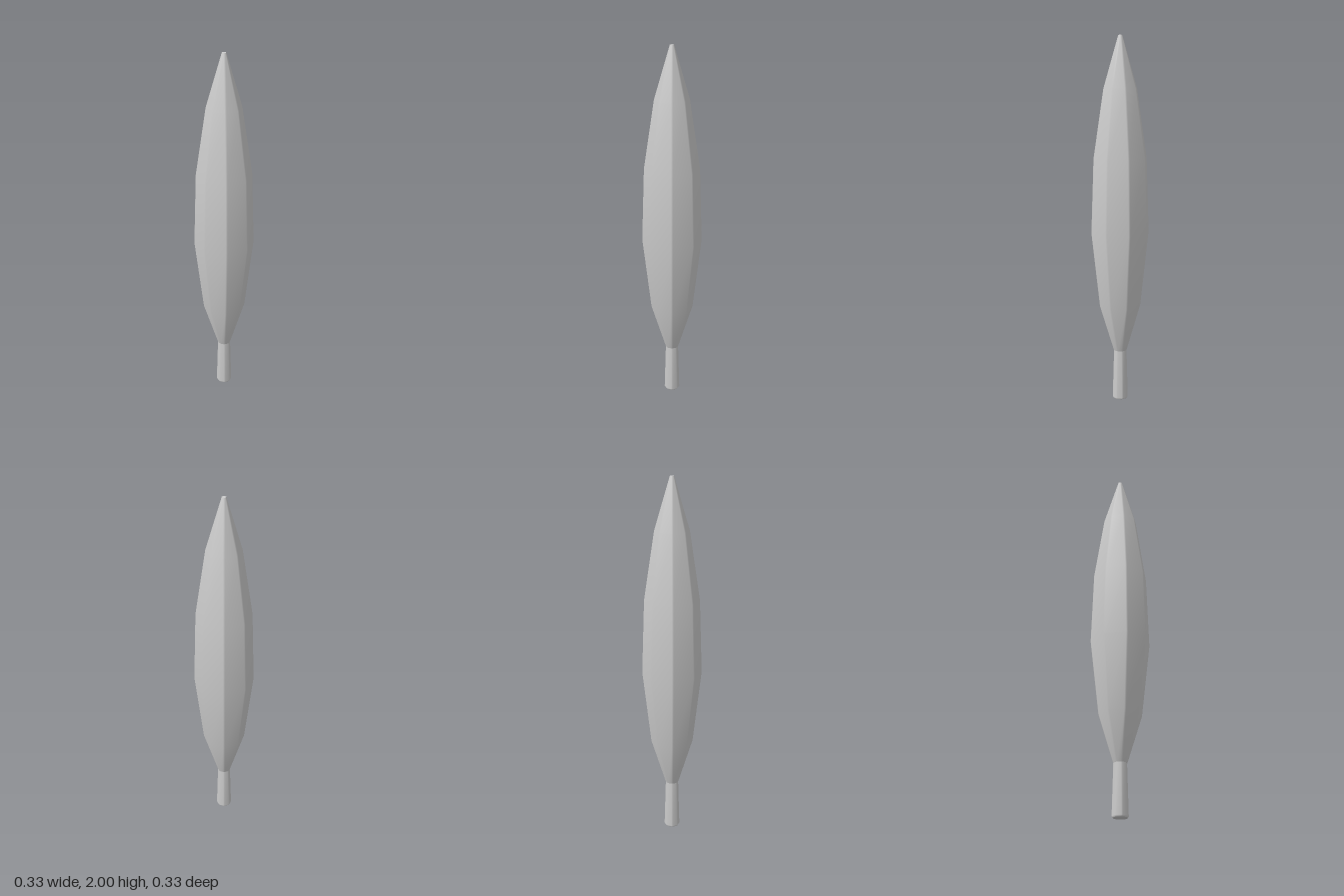
import * as THREE from 'three';

const material = new THREE.MeshStandardMaterial({ color: 0xcccccc });

// Eight-sided solid of revolution with narrow bevelled corners.
// profile: [radius, y] from bottom to top; a repeated point gives a hard rim.
function octagonalBody(name, profile, bevel) {
  const positions = [], index = [], n = 16;
  for (const [r, y] of profile) {
    const w = Math.min(bevel, r * 0.2);
    for (let k = 0; k < 8; k++) {
      const a = (k * Math.PI) / 4, s = Math.sin(a), c = Math.cos(a);
      for (const side of [-w, w]) positions.push(r * s + side * c, y, r * c - side * s);
    }
  }
  for (let i = 0; i < profile.length - 1; i++) {
    const [r0, y0] = profile[i], [r1, y1] = profile[i + 1];
    if (r0 === r1 && y0 === y1) continue;
    for (let j = 0; j < n; j++) {
      const a = i * n + j, b = i * n + (j + 1) % n;
      if (r0 > 0) index.push(a, b, b + n);
      if (r1 > 0) index.push(a, b + n, a + n);
      else index.push(a, b, a + n);
    }
  }
  const geometry = new THREE.BufferGeometry();
  geometry.setAttribute('position', new THREE.Float32BufferAttribute(positions, 3));
  geometry.setIndex(index);
  geometry.computeVertexNormals();
  const mesh = new THREE.Mesh(geometry, material);
  mesh.name = name;
  return mesh;
}

export function createModel() {
  const tree = new THREE.Group();
  tree.name = 'cypressTree';

  // Short trunk, slightly wider at the ground
  tree.add(octagonalBody('trunk', [
    [0, 0], [0.038, 0], [0.038, 0], [0.043, 0.008], [0.035, 0.29],
  ], 0.004));

  // Tall spindle of foliage ending in a tiny flat tip
  tree.add(octagonalBody('foliage', [
    [0, 0.278], [0.036, 0.278], [0.036, 0.278], [0.116, 0.535], [0.163, 0.945],
    [0.149, 1.35], [0.093, 1.72], [0.011, 2], [0.011, 2], [0, 2],
  ], 0.005));

  return tree;
}
